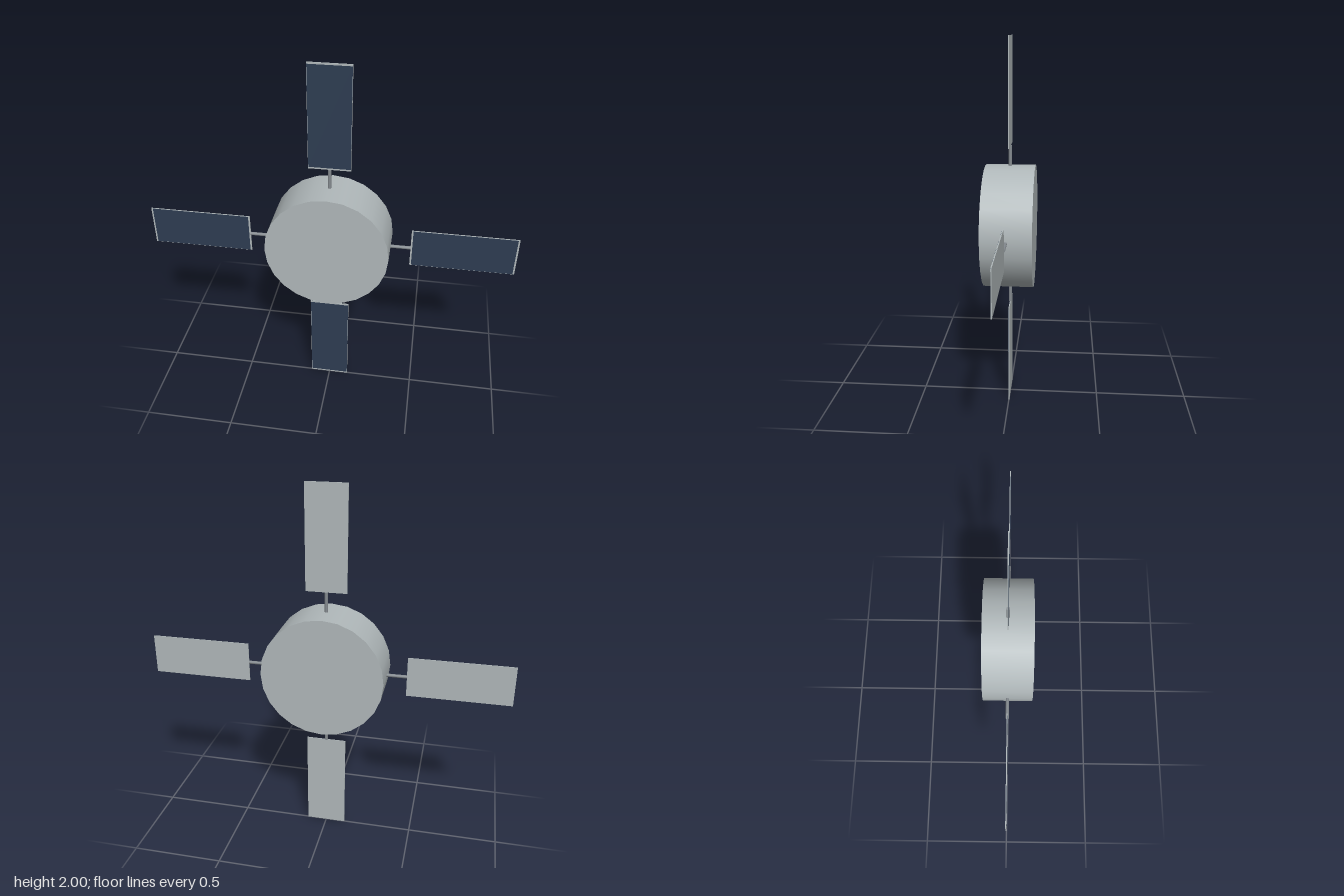
import * as THREE from 'three';

export function createModel() {
  const model = new THREE.Group();
  model.name = 'satellite';

  const bodyGrey = new THREE.MeshStandardMaterial({ name: 'bodyGrey', color: 0xb0b8ba });
  const strutGrey = new THREE.MeshStandardMaterial({ name: 'strutGrey', color: 0x858b90 });
  const cellBlue = new THREE.MeshStandardMaterial({ name: 'cellBlue', color: 0x2e3d52 });

  const add = (parent, name, geometry, material, x, y, z) => {
    const mesh = new THREE.Mesh(geometry, material);
    mesh.name = name;
    mesh.position.set(x, y, z);
    parent.add(mesh);
    return mesh;
  };

  // Drum body, its axis running front to back
  const drum = new THREE.CylinderGeometry(0.333, 0.333, 0.266, 24).rotateX(Math.PI / 2);
  add(model, 'body', drum, bodyGrey, 0, 1, 0);

  const strut = new THREE.CylinderGeometry(0.009, 0.009, 0.12, 12);
  const panel = new THREE.BoxGeometry(0.222, 0.56, 0.005);
  const cells = new THREE.BoxGeometry(0.218, 0.542, 0.002);

  // Four solar wings, a quarter turn apart
  ['topWing', 'leftWing', 'bottomWing', 'rightWing'].forEach((name, i) => {
    const wing = new THREE.Group();
    wing.name = name;
    wing.position.y = 1;
    wing.rotation.z = -i * Math.PI / 2;
    add(wing, 'strut', strut, strutGrey, 0, 0.38, 0);
    add(wing, 'panel', panel, bodyGrey, 0, 0.72, 0);
    add(wing, 'solarCells', cells, cellBlue, 0, 0.72, 0.0025);
    model.add(wing);
  });

  return model;
}
